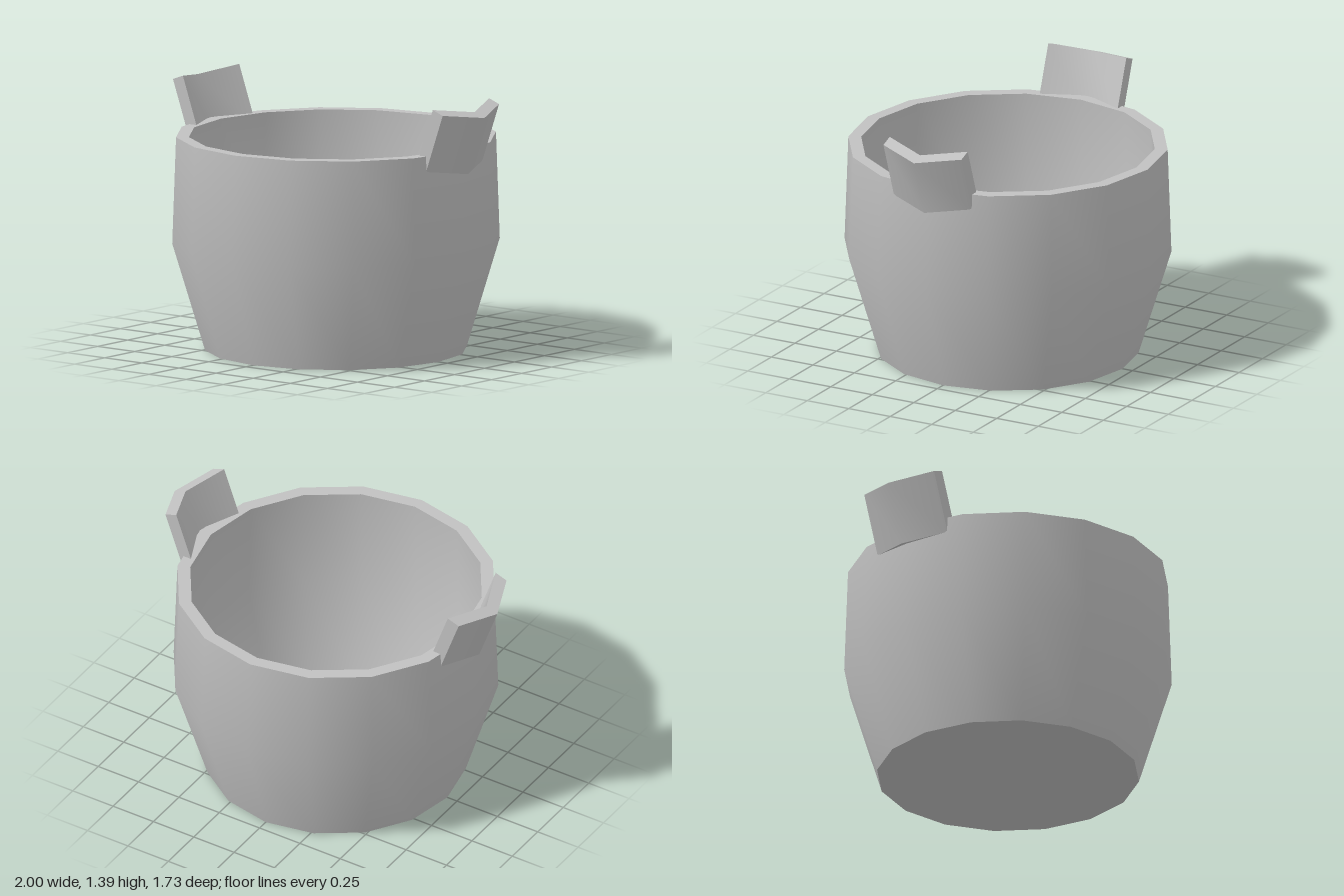
import * as THREE from 'three';
import { toCreasedNormals } from 'three/addons/utils/BufferGeometryUtils.js';

const V = (x, y) => new THREE.Vector2(x, y);

export function createModel() {
  const model = new THREE.Group();
  model.name = 'tub';
  const grey = new THREE.MeshStandardMaterial({ color: 0xc0c0c0 });
  grey.name = 'grey';

  // Hollow sixteen-sided tub: underside, outer wall, rim, inner wall, floor
  const profile = [
    V(0, 0), V(0.69, 0), V(0.863, 0.57), V(0.843, 1.135),
    V(0.775, 1.135), V(0.79, 0.57), V(0.633, 0.06), V(0, 0.06),
  ];
  const body = new THREE.Mesh(toCreasedNormals(new THREE.LatheGeometry(profile, 16), 0.65), grey);
  body.name = 'tubBody';
  model.add(body);

  // Bent plate handles, leaning outwards from the rim
  const chevron = new THREE.Shape([
    V(0, 0), V(-0.097, 0.235), V(-0.168, 0.235),
    V(-0.071, 0), V(-0.168, -0.235), V(-0.097, -0.235),
  ]);
  const plate = new THREE.ExtrudeGeometry(chevron, { depth: 0.33, bevelEnabled: false });
  plate.rotateX(-Math.PI / 2);
  plate.rotateZ(-0.345);
  plate.translate(0.888, 1.02, 0);
  const handleGeometry = toCreasedNormals(plate, 0.9);
  for (const [name, turn] of [['leftHandle', 0], ['rightHandle', Math.PI]]) {
    const handle = new THREE.Mesh(handleGeometry, grey);
    handle.name = name;
    handle.rotation.y = turn;
    model.add(handle);
  }
  return model;
}
